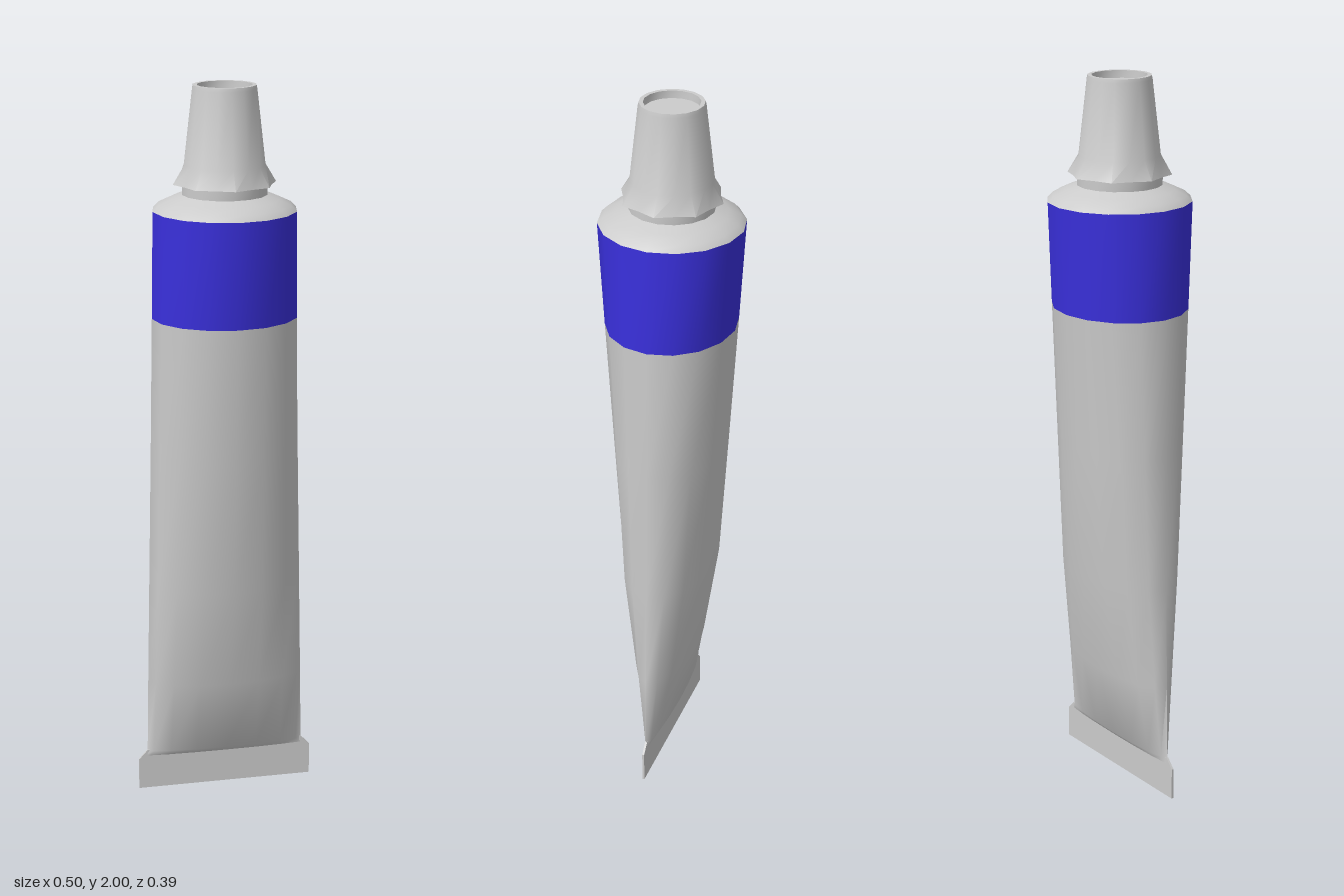
import * as THREE from 'three';
import { toCreasedNormals } from 'three/addons/utils/BufferGeometryUtils.js';

const SIDES = 16;

// Skin stacked elliptical rings, in order from bottom to top: [y, rx, rz, dip of every other point]
function loft(rings, crease) {
  const pos = [], index = [];
  rings.forEach(([y, rx, rz, dip = 0], i) => {
    for (let j = 0; j < SIDES; j++) {
      const a = (j / SIDES) * Math.PI * 2;
      const k = j % 2 ? 1 - dip : 1;
      pos.push(Math.sin(a) * rx * k, y, Math.cos(a) * rz * k);
      if (i === rings.length - 1) continue;
      const p = i * SIDES + j, q = i * SIDES + (j + 1) % SIDES;
      if (rx > 0) index.push(p, q, q + SIDES);
      if (rings[i + 1][1] > 0) index.push(p, q + SIDES, p + SIDES);
      else if (rx > 0) index.splice(index.length - 3, 3, p, q, p + SIDES);
    }
  });
  const g = new THREE.BufferGeometry();
  g.setAttribute('position', new THREE.Float32BufferAttribute(pos, 3));
  g.setIndex(index);
  return toCreasedNormals(g, crease);
}

export function createModel() {
  const group = new THREE.Group();
  const grey = new THREE.MeshStandardMaterial({ color: 0xcccccc, side: THREE.DoubleSide });
  const blue = new THREE.MeshStandardMaterial({ color: 0x3a30dd, side: THREE.DoubleSide });
  const add = (name, geometry, material = grey) => {
    const mesh = new THREE.Mesh(geometry, material);
    mesh.name = name;
    group.add(mesh);
  };

  // Body: round at the top, pressed flat towards the foot
  add('tubeBody', loft([
    [0.1, 0.235, 0.012],
    [0.115, 0.225, 0.025],
    [0.33, 0.221, 0.075],
    [0.62, 0.215, 0.123],
    [1.0, 0.207, 0.15],
    [1.38, 0.2, 0.176],
  ], 1.2));

  // Coloured band
  add('colourBand', loft([[1.38, 0.2, 0.176], [1.67, 0.195, 0.195]], 1.2), blue);

  // Shoulder and neck
  add('shoulder', loft([
    [1.67, 0.195, 0.195],
    [1.685, 0.18, 0.18],
    [1.7, 0.148, 0.148],
    [1.712, 0.115, 0.115],
  ], 0.9));
  add('neck', loft([[1.71, 0.115, 0.115], [1.76, 0.115, 0.115]], 0.9));

  // Cap: scalloped skirt, tapered wall, recessed top
  add('cap', loft([
    [1.74, 0.11, 0.11],
    [1.74, 0.14, 0.14, 0.1],
    [1.79, 0.11, 0.11],
    [1.99, 0.087, 0.087],
    [2, 0.085, 0.085],
    [2, 0.074, 0.074],
    [1.98, 0.073, 0.073],
    [1.98, 0, 0],
  ], 0.75));

  // Crimped foot: a thin strip with chamfered upper corners
  const strip = new THREE.Shape();
  [[-0.25, 0], [0.25, 0], [0.25, 0.09], [0.225, 0.117], [-0.225, 0.117], [-0.25, 0.09]]
    .forEach(([x, y], i) => (i ? strip.lineTo(x, y) : strip.moveTo(x, y)));
  const crimp = new THREE.ExtrudeGeometry(strip, { depth: 0.006, bevelEnabled: false });
  crimp.translate(0, 0, -0.003);
  add('crimpedFoot', crimp);

  return group;
}
